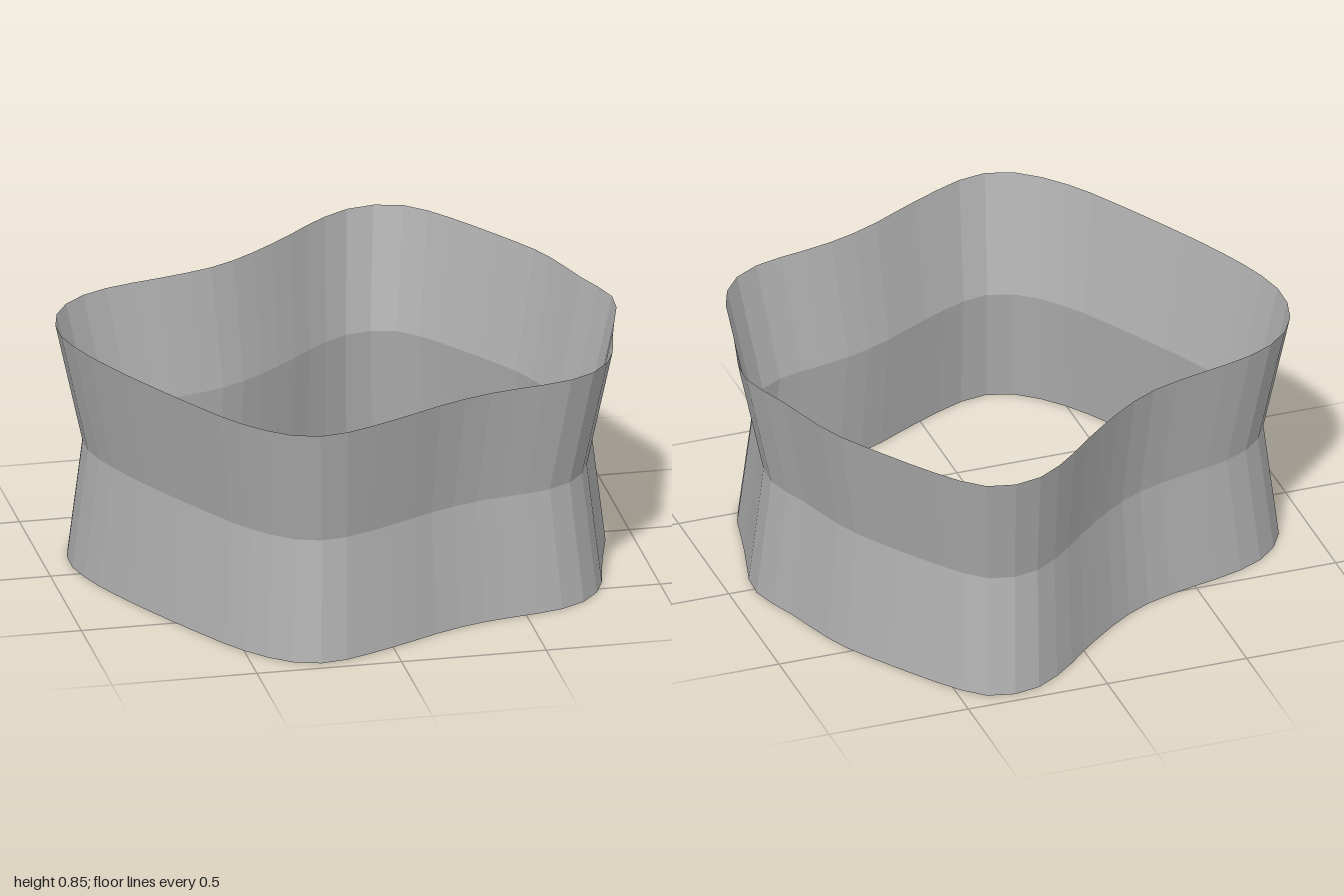
import * as THREE from 'three';

// Wavy closed outline of the rim as [x, z], clockwise seen from above
const OUTLINE = [
  [0.33, -1], [0.42, -0.98], [0.5, -0.91], [0.59, -0.79], [0.69, -0.64], [0.79, -0.475],
  [0.835, -0.36], [0.875, -0.23], [0.915, -0.13], [0.945, -0.04], [0.945, 0.05], [0.91, 0.185],
  [0.875, 0.32], [0.845, 0.46], [0.805, 0.555], [0.735, 0.635], [0.635, 0.685], [0.48, 0.715],
  [0.345, 0.745], [0.2, 0.8], [0.055, 0.875], [-0.09, 0.945], [-0.21, 0.99], [-0.3, 0.995],
  [-0.395, 0.955], [-0.475, 0.88], [-0.55, 0.785], [-0.63, 0.65], [-0.75, 0.43], [-0.845, 0.24],
  [-0.92, 0.055], [-0.95, -0.08], [-0.945, -0.18], [-0.91, -0.29], [-0.85, -0.37], [-0.76, -0.435],
  [-0.63, -0.48], [-0.445, -0.525], [-0.3, -0.575], [-0.18, -0.65], [-0.02, -0.78], [0.11, -0.9],
  [0.23, -0.98],
];

// Height and outline scale of each level: foot, waist, rim
const LEVELS = [[0, 0.96], [0.425, 0.905], [0.845, 1]];
const SEGMENTS = 60;

// Joins scaled copies of the outline into an open band
function bandGeometry() {
  const curve = new THREE.CatmullRomCurve3(
    OUTLINE.map(([x, z]) => new THREE.Vector3(x, 0, z)), true);
  const ring = curve.getSpacedPoints(SEGMENTS).slice(0, SEGMENTS);
  const positions = [];
  const indices = [];
  LEVELS.forEach(([y, scale], level) => {
    ring.forEach((p, i) => {
      positions.push(p.x * scale, y, p.z * scale);
      if (level === 0) return;
      const next = (i + 1) % SEGMENTS;
      const low = (level - 1) * SEGMENTS;
      const high = level * SEGMENTS;
      indices.push(low + next, low + i, high + i, low + next, high + i, high + next);
    });
  });
  const geometry = new THREE.BufferGeometry();
  geometry.setAttribute('position', new THREE.Float32BufferAttribute(positions, 3));
  geometry.setIndex(indices);
  // Separate faces give crisp facets
  const faceted = geometry.toNonIndexed();
  faceted.computeVertexNormals();
  return faceted;
}

export function createModel() {
  const group = new THREE.Group();
  group.name = 'wavyRing';
  const grey = new THREE.MeshStandardMaterial({
    name: 'grey', color: 0xb0b0b0, flatShading: true, side: THREE.DoubleSide,
  });
  const wall = new THREE.Mesh(bandGeometry(), grey);
  wall.name = 'pinchedWall';
  group.add(wall);
  return group;
}
